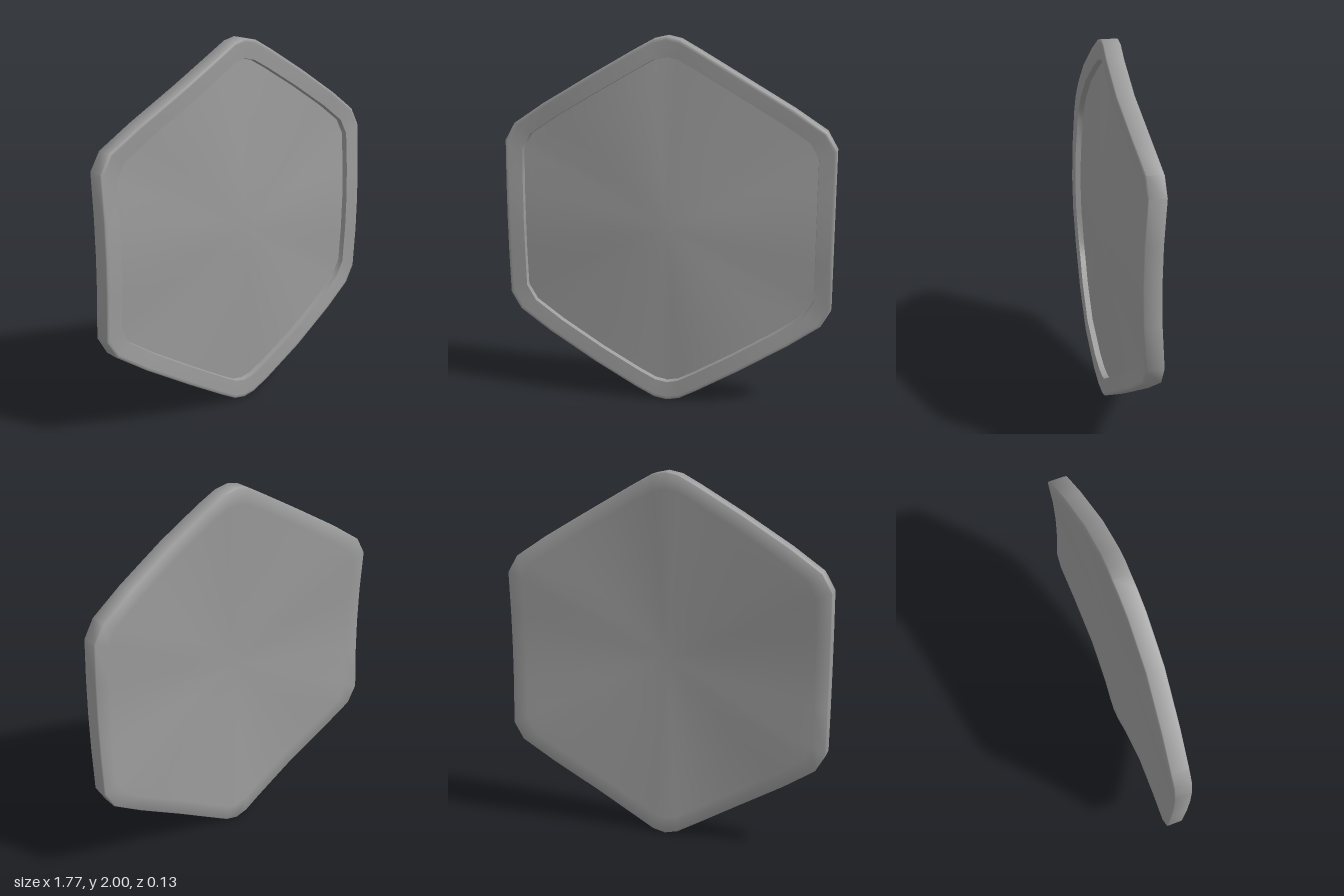
import * as THREE from 'three';
import { toCreasedNormals } from 'three/addons/utils/BufferGeometryUtils.js';

// Quarter of the rounded hexagon, from top tip to side middle: x, y from centre, z of the rim's front
const QUARTER = [
  [0, 1, 0.055], [0.07, 0.985, 0.058], [0.17, 0.93, 0.064], [0.4, 0.796, 0.065], [0.66, 0.64, 0.046],
  [0.83, 0.525, 0.029], [0.884, 0.43, 0.028], [0.884, 0.2, 0.042], [0.884, 0, 0.046],
];
const lower = QUARTER.slice(0, -1).reverse().map(([x, y, z]) => [x, -y, z]);
const half = [...QUARTER, ...lower];
const OUTLINE = [...half, ...half.slice(1, -1).reverse().map(([x, y, z]) => [-x, y, z])];

const THICKNESS = 0.093;
const INNER = 0.893; // scale of the panel outline
const RECESS = 0.034;
const FRONT_CENTRE = 0.063;
const BACK_CENTRE = 0.002;
const STEPS = 12;

// Dome profile from 0 in the middle to 1 at the edge, with a softened tip
const dome = s => (Math.hypot(s, 0.25) - 0.25) / (Math.hypot(1, 0.25) - 0.25);

// Rows of a dome from its centre outwards, sinking to the rim height plus an offset
function domeRows(scale, centre, offset) {
  return Array.from({ length: STEPS + 1 }, (_, k) => {
    const s = k / STEPS;
    return [s * scale, z => THREE.MathUtils.lerp(centre, z + offset, dome(s))];
  });
}

// Skin rows of the scaled outline; each row is [scale, z as a function of the rim height]
function skin(name, rows) {
  const n = OUTLINE.length, pos = [], index = [];
  for (const [t, zAt] of rows)
    for (const [x, y, z] of OUTLINE) pos.push(x * t, 1 + y * t, zAt(z));
  for (let r = 0; r < rows.length - 1; r++) {
    for (let i = 0; i < n; i++) {
      const j = (i + 1) % n;
      const a = r * n + i, b = r * n + j, d = a + n, e = b + n;
      if (rows[r][0] > 0) index.push(a, b, e);
      if (rows[r + 1][0] > 0) index.push(a, e, d);
    }
  }
  const geometry = new THREE.BufferGeometry();
  geometry.setAttribute('position', new THREE.Float32BufferAttribute(pos, 3));
  geometry.setIndex(index);
  const mesh = new THREE.Mesh(
    toCreasedNormals(geometry, 0.95),
    new THREE.MeshStandardMaterial({ color: 0x9c9c9c, side: THREE.DoubleSide })
  );
  mesh.name = name;
  return mesh;
}

export function createModel() {
  const group = new THREE.Group();
  group.name = 'hexagonalShield';

  // Gently domed front panel, sunk below the rim
  group.add(skin('frontPanel', domeRows(INNER, FRONT_CENTRE, -RECESS)));

  // Raised rim with a steep inner step, softened outer wall and hollow back
  group.add(skin('rimAndBack', [
    [INNER, z => z - RECESS],
    [0.896, z => z - 0.003],
    [0.98, z => z],
    [0.994, z => z],
    [1, z => z - 0.005],
    [1, z => z - THICKNESS + 0.005],
    [0.994, z => z - THICKNESS],
    ...domeRows(0.91, BACK_CENTRE, -THICKNESS + 0.004).reverse(),
  ]));

  return group;
}
